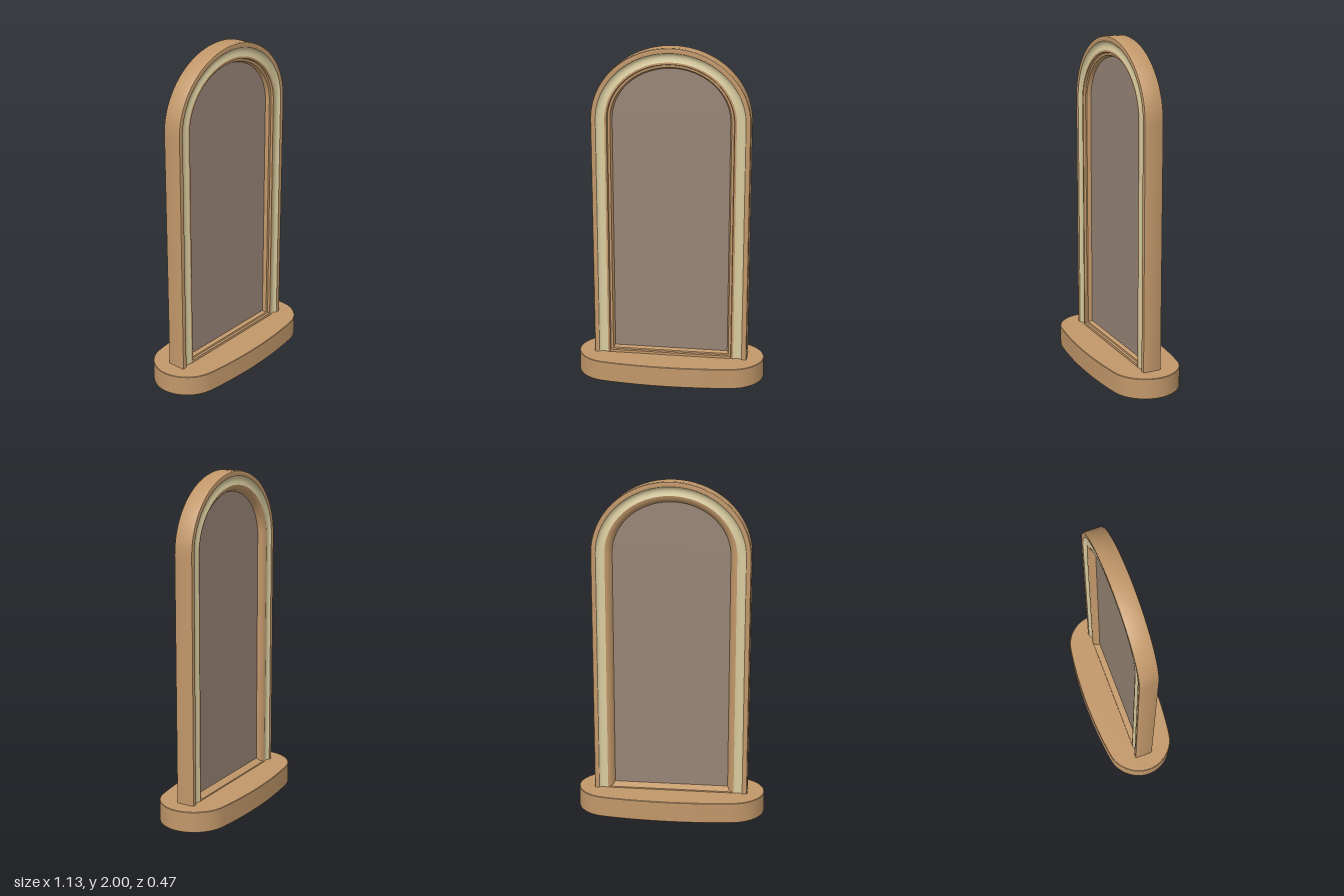
import * as THREE from 'three';
import { toCreasedNormals } from 'three/addons/utils/BufferGeometryUtils.js';

const HALF_W = 0.466, SPRING = 1.575, RISE = 0.425, BASE_H = 0.125;

function material(name, color) {
  const m = new THREE.MeshStandardMaterial({ color });
  m.name = name;
  return m;
}

// Arch outline set in by d, from the left foot over the top to the right foot
function archPath(d, steps = 48) {
  const pts = [[HALF_W - d, BASE_H - 0.01]];
  for (let i = 0; i <= steps; i++) {
    const a = Math.PI * i / steps;
    pts.push([Math.cos(a) * (HALF_W - d), SPRING + Math.sin(a) * (RISE - d)]);
  }
  pts.push([-(HALF_W - d), BASE_H - 0.01]);
  return pts;
}

// Sweeps a moulding profile of [inset, z] points along the arch
function moulding(profile) {
  const rows = profile.map(([d, z]) => archPath(d).map(([x, y]) => [x, y, z]));
  const n = rows[0].length, index = [];
  for (let j = 0; j < rows.length - 1; j++) {
    for (let i = 0; i < n - 1; i++) {
      const a = j * n + i, c = a + n;
      index.push(a, a + 1, c, a + 1, c + 1, c);
    }
  }
  const g = new THREE.BufferGeometry();
  g.setAttribute('position', new THREE.Float32BufferAttribute(rows.flat(2), 3));
  g.setIndex(index);
  return toCreasedNormals(g, 0.6);
}

export function createModel() {
  const wood = material('wood', 0xc2986a);
  const cream = material('cream', 0xd9cc9f);
  const glass = material('smokedPanel', 0x988576);

  const model = new THREE.Group();
  model.name = 'archedFrame';
  const add = (name, geometry, mat, parent = model) => {
    const mesh = new THREE.Mesh(geometry, mat);
    mesh.name = name;
    parent.add(mesh);
    return mesh;
  };

  // Base: long rounded slab
  const outline = new THREE.Shape();
  outline.moveTo(0.567, 0);
  outline.bezierCurveTo(0.567, 0.09, 0.5, 0.183, 0.4, 0.203);
  outline.bezierCurveTo(0.3, 0.22, 0.15, 0.234, 0, 0.234);
  outline.bezierCurveTo(-0.15, 0.234, -0.3, 0.22, -0.4, 0.203);
  outline.bezierCurveTo(-0.5, 0.183, -0.567, 0.09, -0.567, 0);
  outline.bezierCurveTo(-0.567, -0.09, -0.5, -0.183, -0.4, -0.203);
  outline.bezierCurveTo(-0.3, -0.22, -0.15, -0.234, 0, -0.234);
  outline.bezierCurveTo(0.15, -0.234, 0.3, -0.22, 0.4, -0.203);
  outline.bezierCurveTo(0.5, -0.183, 0.567, -0.09, 0.567, 0);
  const slab = new THREE.ExtrudeGeometry(outline, {
    depth: BASE_H - 0.006, curveSegments: 16,
    bevelEnabled: true, bevelThickness: 0.003, bevelSize: 0.003, bevelOffset: -0.003, bevelSegments: 1,
  });
  slab.rotateX(-Math.PI / 2).translate(0, 0.003, 0);
  add('base', toCreasedNormals(slab, 0.6), wood);

  // Frame: outer body, cream inlays on both faces, inner lips
  const frame = new THREE.Group();
  frame.name = 'frame';
  model.add(frame);
  add('outerFrame', moulding([
    [0.03, -0.055], [0.012, -0.057], [0.004, -0.055], [0, -0.047],
    [0, 0.047], [0.004, 0.055], [0.012, 0.057], [0.03, 0.055],
  ]), wood, frame);
  const inlay = [[0.03, 0.055], [0.038, 0.047], [0.05, 0.043], [0.064, 0.044], [0.082, 0.05]];
  add('frontInlay', moulding(inlay), cream, frame);
  add('backInlay', moulding(inlay.map(([d, z]) => [d, -z]).reverse()), cream, frame);
  add('frontLip', moulding([
    [0.082, 0.05], [0.094, 0.05], [0.098, 0.036], [0.112, 0.034], [0.122, 0.01],
  ]), wood, frame);
  add('backLip', moulding([
    [0.122, -0.01], [0.112, -0.034], [0.094, -0.048], [0.082, -0.05],
  ]), wood, frame);

  // Bottom rail: stepped in front, sloped behind
  const rail = new THREE.Shape([
    [0.05, 0.115], [0.05, 0.14], [0.036, 0.142], [0.034, 0.15], [0.01, 0.16],
    [-0.01, 0.155], [-0.048, 0.132], [-0.05, 0.115],
  ].map(([z, y]) => new THREE.Vector2(-z, y)));
  const railGeo = new THREE.ExtrudeGeometry(rail, { depth: 0.74, bevelEnabled: false });
  railGeo.translate(0, 0, -0.37).rotateY(Math.PI / 2);
  add('bottomRail', railGeo, wood, frame);

  // Panel filling the arch
  const opening = new THREE.Shape(archPath(0.118).map(([x, y]) => new THREE.Vector2(x, y)));
  const panel = new THREE.ExtrudeGeometry(opening, { depth: 0.024, bevelEnabled: false });
  panel.translate(0, 0, -0.012);
  add('panel', panel, glass);

  return model;
}
